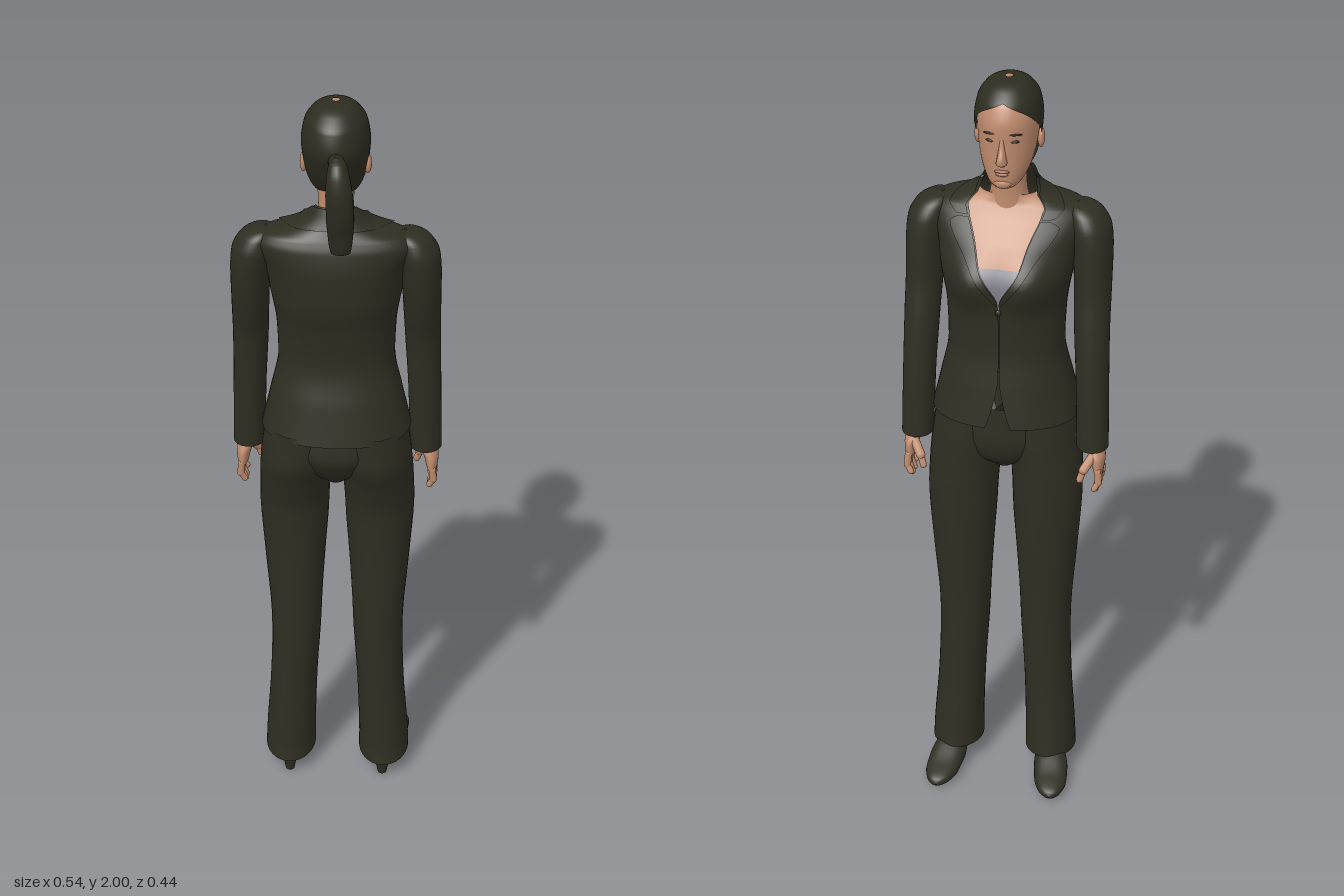
import * as THREE from 'three';
import { mergeVertices } from 'three/addons/utils/BufferGeometryUtils.js';

const mat = (name, color, side = THREE.DoubleSide) => {
  const m = new THREE.MeshStandardMaterial({ color, side });
  m.name = name;
  return m;
};

// Monotone smooth interpolation of column k of a table sorted by its first column
function sample(rows, y, k) {
  const n = rows.length;
  if (y <= rows[0][0]) return rows[0][k];
  if (y >= rows[n - 1][0]) return rows[n - 1][k];
  let i = 0;
  while (y > rows[i + 1][0]) i++;
  const slope = (j) => (rows[j + 1][k] - rows[j][k]) / (rows[j + 1][0] - rows[j][0]);
  const tangent = (j) => {
    if (j === 0) return slope(0);
    if (j === n - 1) return slope(n - 2);
    const a = slope(j - 1), b = slope(j);
    return a * b <= 0 ? 0 : (2 * a * b) / (a + b);
  };
  const h = rows[i + 1][0] - rows[i][0], t = (y - rows[i][0]) / h, u = 1 - t;
  return rows[i][k] * (1 + 2 * t) * u * u + tangent(i) * h * t * u * u
    + rows[i + 1][k] * t * t * (3 - 2 * t) - tangent(i + 1) * h * t * t * u;
}

// Surface through oval sections [y, centreX, halfWidth, zFront, zBack].
// from / to are tables [y, angle]; angle 0 is the front (-z), PI the back.
function loft(sections, opt = {}) {
  const { from = [[0, 0]], to = [[0, Math.PI * 2]], lo = sections[0][0], hi = sections.at(-1)[0],
    cols = 32, grow = 0, pow = 1, tweak } = opt;
  const knots = [...new Set([lo, hi, ...[...sections, ...from, ...to].map((r) => r[0])])]
    .filter((y) => y >= lo && y <= hi).sort((a, b) => a - b);
  const ys = [knots[0]];
  for (let i = 1; i < knots.length; i++)
    for (let s = 1; s <= 4; s++) ys.push(knots[i - 1] + (knots[i] - knots[i - 1]) * s / 4);
  const pos = [], index = [], p = new THREE.Vector3();
  const round = (v) => Math.sign(v) * Math.abs(v) ** pow;
  ys.forEach((y, r) => {
    const [cx, rx, zf, zb] = [1, 2, 3, 4].map((k) => sample(sections, y, k));
    const a = sample(from, y, 1), b = sample(to, y, 1);
    for (let c = 0; c <= cols; c++) {
      const t = a + (b - a) * c / cols;
      p.set(cx + (rx + grow) * round(Math.sin(t)), y,
        (zf + zb) / 2 - ((zb - zf) / 2 + grow) * round(Math.cos(t)));
      if (tweak) tweak(p);
      pos.push(p.x, p.y, p.z);
      if (r && c) {
        const q = r * (cols + 1) + c, d = q - cols - 1;
        index.push(d - 1, q - 1, d, d, q - 1, q);
      }
    }
  });
  let g = new THREE.BufferGeometry();
  g.setAttribute('position', new THREE.Float32BufferAttribute(pos, 3));
  g.setIndex(index);
  g = mergeVertices(g, 1e-5);
  g.computeVertexNormals();
  return g;
}

export function createModel() {
  const suit = mat('dark suit', 0x2f2e22), hair = mat('dark hair', 0x2d2c20);
  const skin = mat('skin', 0xc08c6e), shirt = mat('grey top', 0x85868f);
  const lip = mat('lips', 0xa8705c);
  const model = new THREE.Group();
  model.name = 'standingWoman';
  const add = (name, g, m) => {
    const mesh = new THREE.Mesh(g, m);
    mesh.name = name;
    model.add(mesh);
    return mesh;
  };
  const ball = (name, m, x, y, z, sx, sy, sz) => {
    const b = add(name, new THREE.SphereGeometry(1, 16, 12), m);
    b.position.set(x, y, z);
    b.scale.set(sx, sy, sz);
    return b;
  };
  const rod = (name, m, a, b, r) => {
    const A = new THREE.Vector3(...a), B = new THREE.Vector3(...b), d = B.clone().sub(A);
    const mesh = add(name, new THREE.CapsuleGeometry(r, d.length(), 4, 10), m);
    mesh.position.copy(A).add(B).multiplyScalar(0.5);
    mesh.quaternion.setFromUnitVectors(new THREE.Vector3(0, 1, 0), d.normalize());
  };

  // Jacket, with an open V at the chest and a small cutaway at the hem
  const torso = [[1.105, 0, 0.19, -0.135, 0.157], [1.2, 0, 0.168, -0.122, 0.138],
    [1.31, 0, 0.147, -0.108, 0.116], [1.4, 0, 0.15, -0.11, 0.128], [1.5, 0, 0.165, -0.122, 0.152],
    [1.58, 0, 0.178, -0.088, 0.156], [1.64, 0, 0.2, -0.038, 0.148], [1.665, 0, 0.182, -0.02, 0.138],
    [1.68, 0, 0.13, -0.012, 0.13], [1.695, 0, 0.088, -0.01, 0.122], [1.72, 0, 0.064, -0.01, 0.11],
    [1.745, 0, 0.056, -0.005, 0.1]];
  const bust = (p) => {
    if (p.z < 0.03)
      p.z -= 0.02 * Math.exp(-(((Math.abs(p.x) - 0.075) / 0.05) ** 2) - ((p.y - 1.495) / 0.06) ** 2);
  };
  const edge = [[1.105, 0.13], [1.16, 0.06], [1.24, 0.004], [1.45, 0.004], [1.55, 0.25], [1.62, 0.34],
    [1.66, 0.45], [1.695, 0.95], [1.72, 1.6], [1.745, 2.2]];
  const full = edge.map(([y, a]) => [y, Math.PI * 2 - a]);
  const cloth = { pow: 0.87, tweak: bust };
  add('jacket', loft(torso, { ...cloth, from: edge, to: full, cols: 56 }), suit);
  add('chest', loft(torso, { ...cloth, from: [[0, -1.2]], to: [[0, 1.2]], lo: 1.42, hi: 1.7, grow: -0.005 }), skin);
  add('camisole', loft(torso, { ...cloth, from: [[0, -0.5]], to: [[0, 0.5]], lo: 1.43, hi: 1.545, grow: -0.002 }), shirt);
  ball('button', suit, 0, 1.43, -0.12, 0.008, 0.008, 0.004);

  // Lapels and collar lie just above the jacket
  const lapel = [[1.45, 0.02], [1.55, 0.4], [1.63, 0.68], [1.645, 0.55]];
  const collar = [[1.65, 0.58], [1.668, 0.85], [1.685, 1.6], [1.7, Math.PI], [1.745, Math.PI]];
  for (const s of [1, -1]) {
    const flap = (name, outer, lo, hi, grow) => {
      const neg = (t) => t.map(([y, a]) => [y, -a]);
      const [from, to] = s > 0 ? [edge, outer] : [neg(outer), neg(edge)];
      add(name, loft(torso, { ...cloth, from, to, lo, hi, grow, cols: 16 }), suit);
    };
    flap('lapel', lapel, 1.45, 1.645, 0.006);
    flap('collar', collar, 1.65, 1.745, 0.008);
  }

  // Neck, head and hair
  add('neck', loft([[1.64, 0, 0.07, -0.015, 0.1], [1.68, 0, 0.05, -0.014, 0.085],
    [1.73, 0, 0.044, -0.016, 0.08], [1.8, 0, 0.046, -0.02, 0.08]]), skin);
  const skull = [[1.736, 0, 0.008, -0.045, -0.025], [1.741, 0, 0.028, -0.058, 0.0], [1.76, 0, 0.047, -0.066, 0.05],
    [1.8, 0, 0.064, -0.068, 0.09], [1.85, 0, 0.073, -0.069, 0.118], [1.9, 0, 0.077, -0.07, 0.136],
    [1.945, 0, 0.07, -0.056, 0.126], [1.975, 0, 0.051, -0.028, 0.098], [1.988, 0, 0.032, -0.003, 0.072],
    [1.994, 0, 0.002, 0.03, 0.034]];
  add('head', loft(skull), skin);
  const hairline = [[1.755, 2.3], [1.78, 2.0], [1.83, 1.75], [1.87, 1.45], [1.9, 1.15], [1.93, 0.75],
    [1.95, 0.25], [1.958, 0]];
  add('hair', loft(skull, { from: hairline, to: hairline.map(([y, a]) => [y, Math.PI * 2 - a]),
    lo: 1.755, grow: 0.007, cols: 48, tweak: (p) => { if (p.y > 1.9) p.y += (p.y - 1.9) * 0.06; } }), hair);
  add('nose', loft([[1.805, 0, 0.006, -0.075, -0.06], [1.814, 0, 0.014, -0.089, -0.05],
    [1.825, 0, 0.012, -0.09, -0.05], [1.85, 0, 0.008, -0.078, -0.05], [1.88, 0, 0.006, -0.069, -0.05]], { cols: 14 }), skin);
  ball('upperLip', lip, 0, 1.79, -0.067, 0.019, 0.004, 0.006);
  ball('lowerLip', lip, 0, 1.782, -0.066, 0.016, 0.005, 0.006);
  ball('chin', skin, 0, 1.755, -0.055, 0.022, 0.015, 0.014);
  for (const s of [1, -1]) {
    ball('ear', skin, s * 0.078, 1.84, 0.04, 0.009, 0.026, 0.015);
    ball('eye', hair, s * 0.031, 1.868, -0.06, 0.011, 0.0035, 0.004).rotation.y = s * -0.3;
    ball('eyebrow', hair, s * 0.033, 1.887, -0.061, 0.016, 0.0025, 0.004).rotation.y = s * -0.3;
  }

  // Ponytail
  ball('hairTie', hair, 0.008, 1.885, 0.145, 0.02, 0.022, 0.03);
  add('ponytail', loft([[1.652, 0.02, 0.004, 0.16, 0.168], [1.66, 0.02, 0.024, 0.15, 0.18], [1.71, 0.02, 0.031, 0.15, 0.192],
    [1.76, 0.02, 0.034, 0.155, 0.207], [1.82, 0.018, 0.033, 0.163, 0.214], [1.865, 0.015, 0.028, 0.155, 0.207],
    [1.895, 0.012, 0.02, 0.138, 0.19], [1.908, 0.01, 0.004, 0.155, 0.165]], { cols: 18 }), hair);

  // Hips
  add('hips', loft([[0.945, 0, 0.03, -0.05, 0.06], [1.0, 0, 0.13, -0.105, 0.115], [1.06, 0, 0.178, -0.117, 0.142],
    [1.15, 0, 0.17, -0.115, 0.13]]), suit);

  for (const s of [1, -1]) {
    const side = (rows) => rows.map(([y, x, ...r]) => [y, x * s, ...r]);

    // Sleeve and hand
    add('sleeve', loft(side([[1.02, 0.228, 0.041, -0.072, 0.02], [1.2, 0.223, 0.042, -0.064, 0.034],
      [1.35, 0.217, 0.045, -0.05, 0.052], [1.45, 0.214, 0.047, -0.036, 0.085], [1.55, 0.211, 0.05, -0.032, 0.108],
      [1.61, 0.203, 0.053, -0.026, 0.114], [1.645, 0.192, 0.046, -0.012, 0.106], [1.665, 0.18, 0.03, 0.01, 0.09],
      [1.672, 0.17, 0.003, 0.045, 0.055]])), suit);
    add('hand', loft(side([[0.95, 0.245, 0.004, -0.035, -0.02], [0.957, 0.245, 0.013, -0.068, 0.012],
      [0.99, 0.243, 0.019, -0.068, 0.014], [1.02, 0.234, 0.023, -0.055, 0.006], [1.06, 0.228, 0.025, -0.05, 0.0]])), skin);
    [0.904, 0.893, 0.892, 0.905].forEach((tip, i) => {
      const z = 0.004 - i * 0.0215;
      rod('finger', skin, [s * 0.247, 0.962, z], [s * 0.25, 0.93, z - 0.003], 0.0095);
      rod('finger', skin, [s * 0.25, 0.93, z - 0.003], [s * 0.24, tip + 0.008, z - 0.007], 0.008);
    });
    rod('thumb', skin, [s * 0.232, 1.0, -0.052], [s * 0.212, 0.97, -0.074], 0.012);
    rod('thumb', skin, [s * 0.212, 0.97, -0.074], [s * 0.204, 0.945, -0.08], 0.009);

    // Trouser leg, with the hem lifted over the instep
    add('trouserLeg', loft(side([[0.052, 0.128, 0.068, -0.118, 0.065], [0.1, 0.127, 0.067, -0.113, 0.061],
      [0.3, 0.117, 0.063, -0.098, 0.062], [0.5, 0.109, 0.067, -0.095, 0.066], [0.7, 0.111, 0.08, -0.105, 0.07],
      [0.85, 0.111, 0.09, -0.112, 0.08], [0.95, 0.107, 0.092, -0.114, 0.11], [1.03, 0.098, 0.095, -0.114, 0.14],
      [1.12, 0.09, 0.09, -0.11, 0.142]]),
    { tweak: (p) => { if (p.y < 0.2) p.y -= p.z * 0.17 * (1 - p.y / 0.2); } }), suit);

    // Shoe lofted from heel to toe, then laid along -z
    const shoe = loft(side([[-0.056, 0.127, 0.003, 0.055, 0.06], [-0.048, 0.127, 0.026, 0.035, 0.085],
      [0, 0.128, 0.034, 0.03, 0.1], [0.06, 0.134, 0.038, 0.018, 0.092], [0.11, 0.142, 0.046, 0.005, 0.072],
      [0.16, 0.149, 0.044, 0.001, 0.048], [0.2, 0.153, 0.031, 0.003, 0.035], [0.217, 0.155, 0.016, 0.006, 0.026],
      [0.223, 0.155, 0.002, 0.012, 0.016]]), { cols: 24, pow: 0.85 });
    add('shoe', shoe.rotateX(-Math.PI / 2), suit);
    add('shoeHeel', new THREE.CylinderGeometry(0.021, 0.012, 0.05, 14), suit).position.set(s * 0.127, 0.025, 0.034);
  }
  return model;
}
